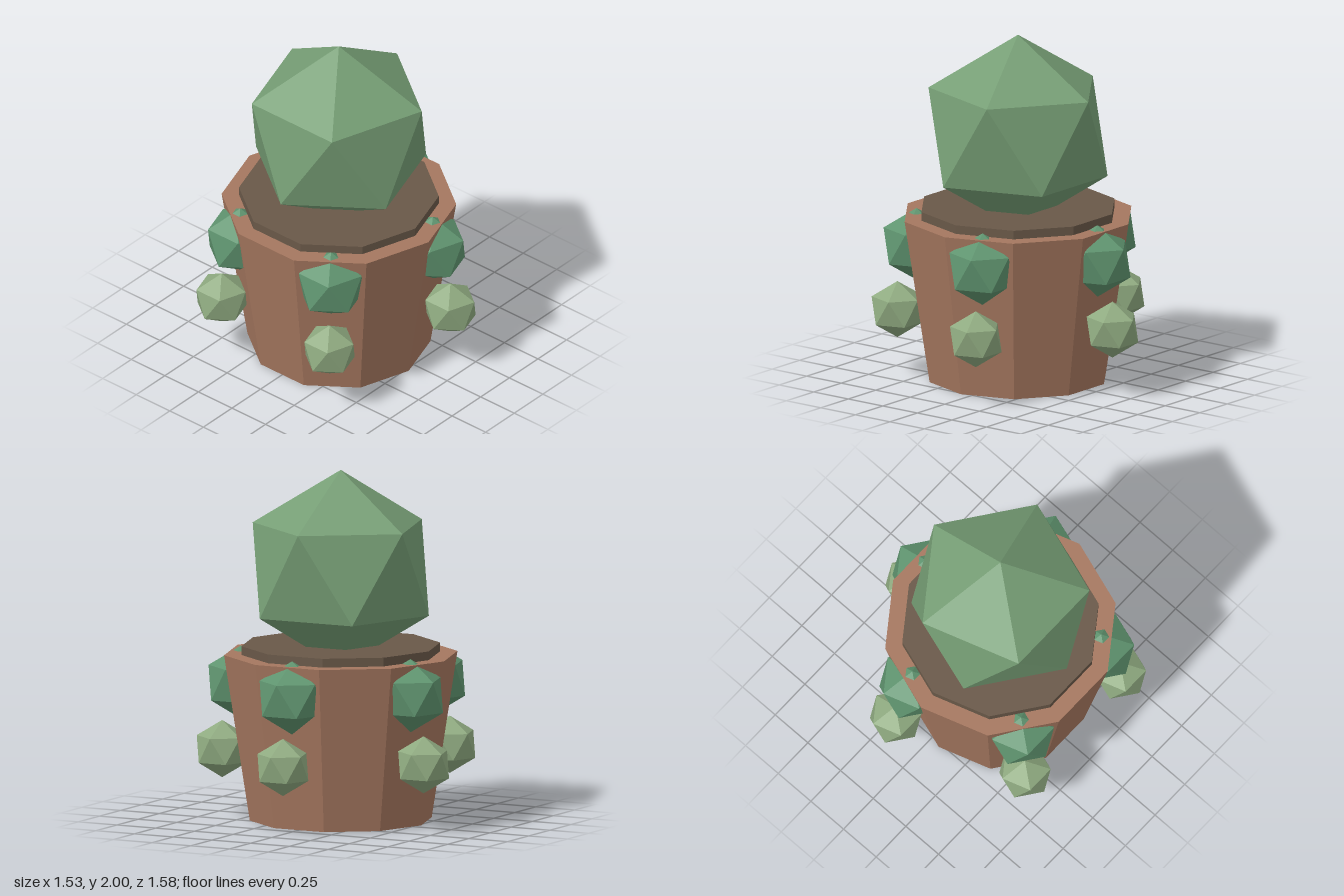
import * as THREE from 'three';

const CENTER_X = -0.066;

const paint = (color) => {
  const material = new THREE.MeshStandardMaterial({ color });
  material.flatShading = true;
  return material;
};

// Icosahedron standing on a vertex, with one upper-ring vertex toward +x
function gem(radius) {
  const tilt = Math.atan(2 / (1 + Math.sqrt(5)));
  return new THREE.IcosahedronGeometry(radius, 0).rotateZ(-tilt);
}

function part(name, geometry, material, x, y, z) {
  const mesh = new THREE.Mesh(geometry, material);
  mesh.name = name;
  mesh.position.set(x, y, z);
  return mesh;
}

export function createModel() {
  const plant = new THREE.Group();
  plant.name = 'pottedPlant';
  plant.position.x = CENTER_X;

  // Ten-sided tapered pot and the soil disc standing proud of it
  plant.add(part('pot', new THREE.CylinderGeometry(0.667, 0.52, 0.95, 10), paint(0xa5775f), 0, 0.475, 0));
  plant.add(part('soil', new THREE.CylinderGeometry(0.568, 0.568, 0.1, 10), paint(0x695848), 0, 0.95, 0));

  // Main foliage
  plant.add(part('foliage', gem(0.568), paint(0x769e75), 0, 1.432, 0));

  // Five columns of buds around the pot: a large dark one above a small pale one
  const upper = { geometry: gem(0.21), material: paint(0x5f946f) };
  const lower = { geometry: gem(0.164), material: paint(0x8faa80) };
  for (let i = 0; i < 5; i++) {
    const a = (i * Math.PI * 2) / 5;
    const c = Math.cos(a), s = Math.sin(a);
    plant.add(part('upperBud', upper.geometry, upper.material, 0.575 * c, 0.768, 0.575 * s));
    plant.add(part('lowerBud', lower.geometry, lower.material, 0.684 * c, 0.384, 0.684 * s));
  }

  const model = new THREE.Group();
  model.name = 'model';
  model.add(plant);
  return model;
}
